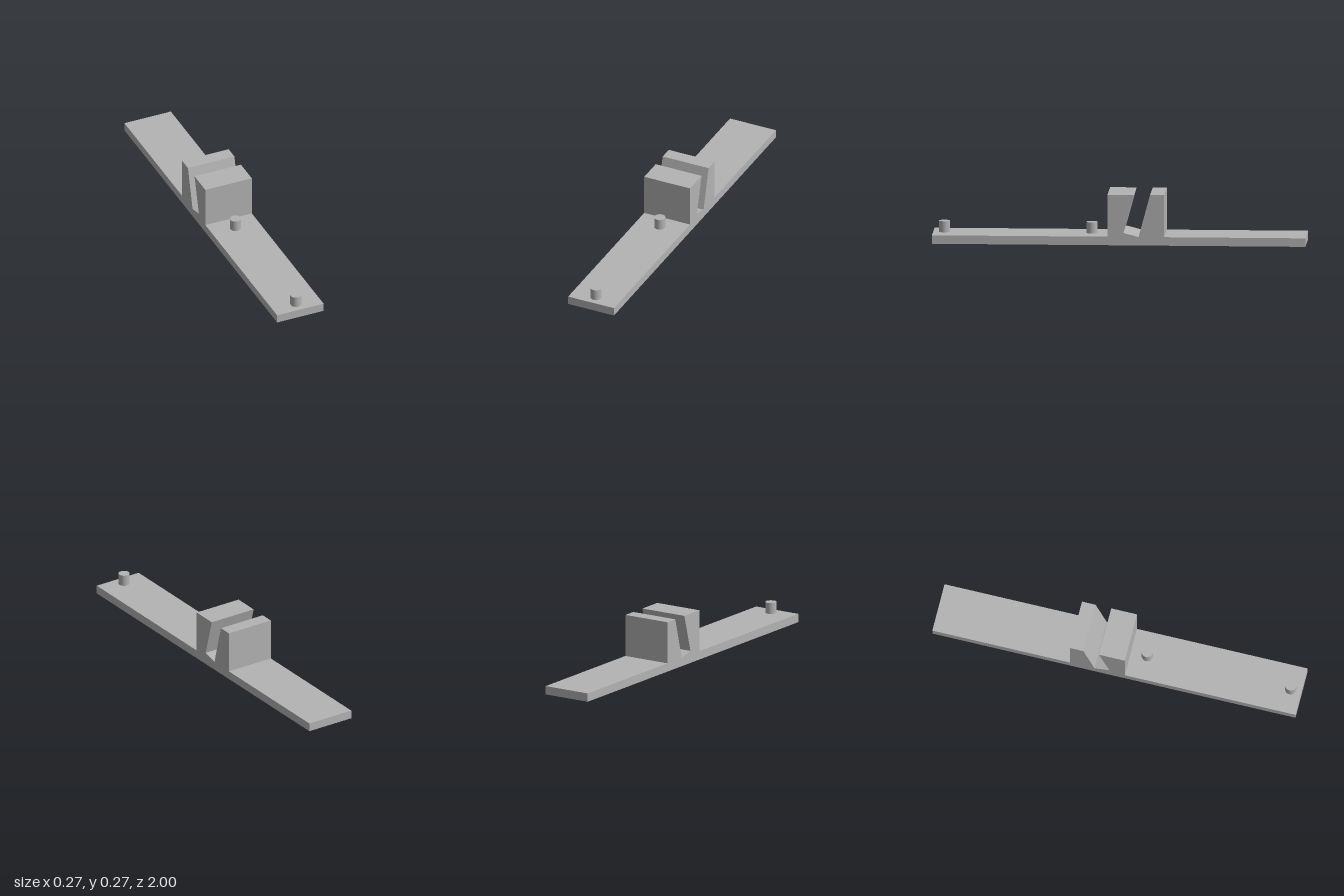
import * as THREE from 'three';

const HALF_WIDTH = 0.136;
const BASE_TOP = 0.046;
const BLOCK_TOP = 0.273;
const PIN_RADIUS = 0.03;
const PIN_HEIGHT = 0.06;

export function createModel() {
  const model = new THREE.Group();
  model.name = 'slottedStand';
  const grey = new THREE.MeshStandardMaterial({ color: 0xb3b3b3 });
  grey.name = 'grey';

  // Side profile (z, y): flat base with a block cut by a leaning slot
  const profile = new THREE.Shape([
    [-1, 0], [1, 0], [1, BASE_TOP],
    [0.06, BASE_TOP], [0.06, BLOCK_TOP],
    [-0.082, BLOCK_TOP], [-0.025, 0.067], [-0.107, BASE_TOP], [-0.168, BLOCK_TOP],
    [-0.243, BLOCK_TOP], [-0.243, BASE_TOP], [-1, BASE_TOP],
  ].map(([z, y]) => new THREE.Vector2(z, y)));
  const bodyGeometry = new THREE.ExtrudeGeometry(profile, { depth: HALF_WIDTH * 2, bevelEnabled: false });
  bodyGeometry.translate(0, 0, -HALF_WIDTH);
  bodyGeometry.rotateY(-Math.PI / 2);
  const body = new THREE.Mesh(bodyGeometry, grey);
  body.name = 'baseWithSlottedBlock';
  model.add(body);

  // Two round pins on the front part of the base
  const pinGeometry = new THREE.CylinderGeometry(PIN_RADIUS, PIN_RADIUS, PIN_HEIGHT, 48);
  for (const [name, z] of [['frontPin', 0.94], ['innerPin', 0.15]]) {
    const pin = new THREE.Mesh(pinGeometry, grey);
    pin.name = name;
    pin.position.set(0, BASE_TOP + PIN_HEIGHT / 2, z);
    model.add(pin);
  }

  return model;
}
